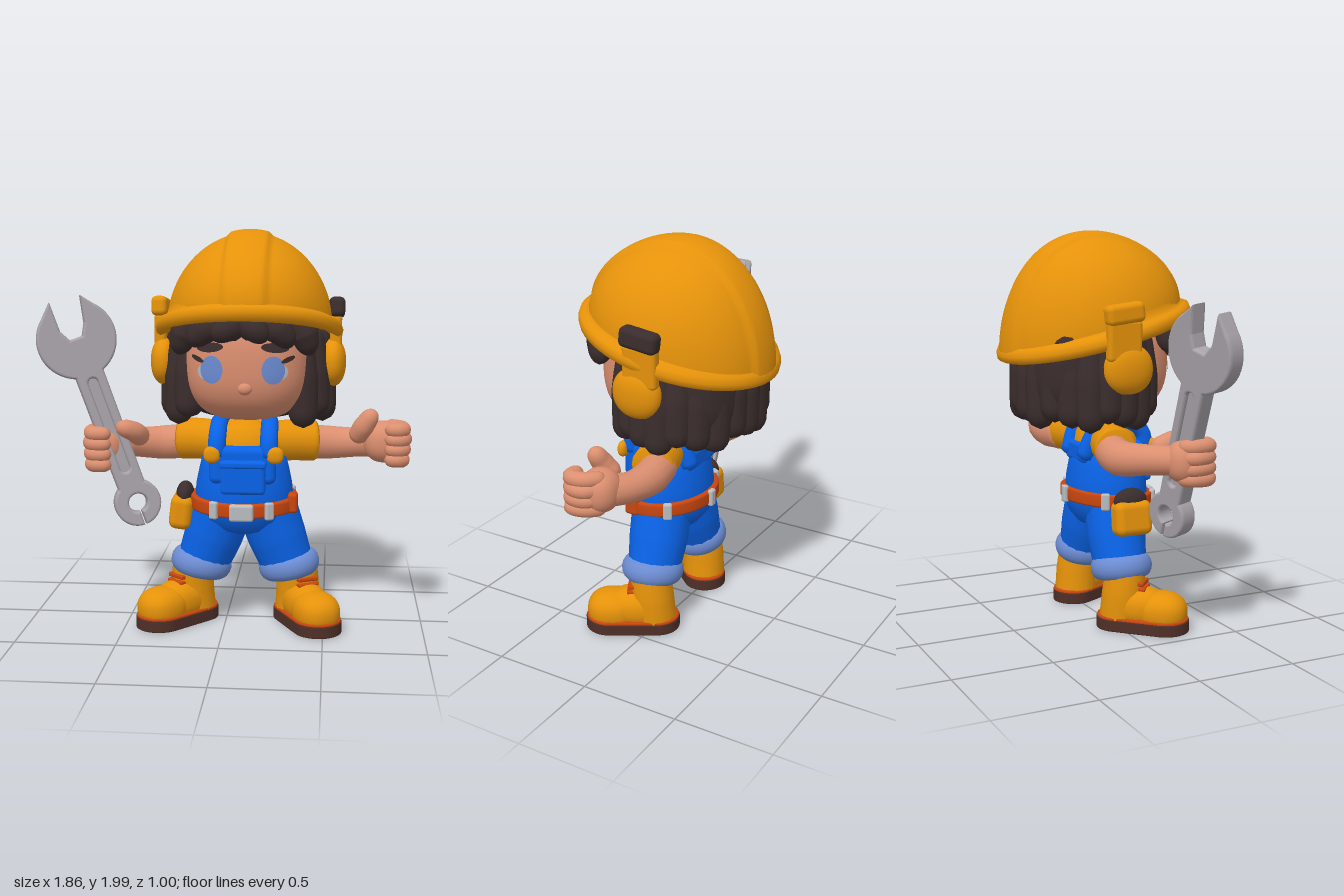
import * as THREE from 'three';
import { mergeVertices } from 'three/addons/utils/BufferGeometryUtils.js';
import { RoundedBoxGeometry } from 'three/addons/geometries/RoundedBoxGeometry.js';

const colour = (name, hex) => {
  const m = new THREE.MeshStandardMaterial({ color: hex });
  m.name = name;
  return m;
};
const V = (p) => new THREE.Vector3(...p);

export function createModel() {
  const yellow = colour('yellow', 0xe5920a), blue = colour('denim', 0x0a64ea);
  const cuffBlue = colour('paleBlue', 0x6c8cd2), skin = colour('skin', 0xdc8f70);
  const hair = colour('darkBrown', 0x3b2d2d), steel = colour('steel', 0xa8a2a9);
  const silver = colour('silver', 0xb9bcc0), orange = colour('beltOrange', 0xc9460f);
  const soleBrown = colour('soleBrown', 0x4f2f28);
  const model = new THREE.Group();
  model.name = 'builder';

  const add = (name, geo, mat, pos = [0, 0, 0], parent = model) => {
    const m = new THREE.Mesh(geo, mat);
    m.name = name;
    m.position.set(...pos);
    parent.add(m);
    return m;
  };
  const smooth = (g) => {
    g.deleteAttribute('uv');
    g.deleteAttribute('normal');
    g = mergeVertices(g, 1e-5);
    g.computeVertexNormals();
    return g;
  };
  const warp = (g, rule) => {
    const p = g.attributes.position, v = new THREE.Vector3();
    for (let i = 0; i < p.count; i++) {
      v.fromBufferAttribute(p, i);
      rule(v, i);
      p.setXYZ(i, v.x, v.y, v.z);
    }
    return g;
  };
  // Rounded mass; e below 1 makes it boxier
  const blob = (name, mat, pos, r, e = 1, parent = model) => {
    const f = (c, s) => Math.sign(c) * Math.abs(c) ** e * s;
    const g = warp(new THREE.SphereGeometry(1, 40, 28), (v) => v.set(f(v.x, r[0]), f(v.y, r[1]), f(v.z, r[2])));
    return add(name, smooth(g), mat, pos, parent);
  };
  // Tapered tube through points with rounded ends
  const limb = (name, mat, pts, radii, round = 0.15, parent = model) => {
    const curve = new THREE.CatmullRomCurve3(pts.map(V)), n = 24, m = 16;
    const g = warp(new THREE.TubeGeometry(curve, n, 1, m), (v, i) => {
      const u = Math.floor(i / (m + 1)) / n, c = curve.getPointAt(u);
      const t = u * (radii.length - 1), k = Math.min(Math.floor(t), radii.length - 2);
      const d = Math.min(1, Math.min(u, 1 - u) / round);
      const r = THREE.MathUtils.lerp(radii[k], radii[k + 1], t - k) * Math.sqrt(Math.max(0, 1 - (1 - d) ** 2));
      v.sub(c).multiplyScalar(r).add(c);
    });
    return add(name, smooth(g), mat, [0, 0, 0], parent);
  };
  const box = (name, mat, pos, s, parent = model) =>
    add(name, new RoundedBoxGeometry(...s, 3, Math.min(...s) * 0.35), mat, pos, parent);
  const lathe = (name, mat, pts, pos, sx, sz, slope = 0) => {
    const g = new THREE.LatheGeometry(pts.map((p) => new THREE.Vector2(...p)), 48);
    g.scale(sx, 1, sz);
    return add(name, smooth(warp(g, (v) => { v.y += slope * v.z; })), mat, pos);
  };

  // Head and face
  const hc = [0.11, 1.36, 0.05], hr = [0.31, 0.3, 0.31], he = 0.75;
  blob('head', skin, hc, hr, he);
  const faceZ = (x, y) => {
    const q = 1 - Math.abs((x - hc[0]) / hr[0]) ** (2 / he) - Math.abs((y - hc[1]) / hr[1]) ** (2 / he);
    return hc[2] + hr[2] * Math.max(q, 0) ** (he / 2);
  };
  const patch = (name, mat, x, y, rx, ry, lift, tilt = 0) => {
    const g = new THREE.RingGeometry(0.001, 1, 28, 5);
    g.scale(rx, ry, 1).rotateZ(tilt).translate(x, y, 0);
    add(name, smooth(warp(g, (v) => { v.z = faceZ(v.x, v.y) + lift; })), mat);
  };
  blob('nose', skin, [0.115, 1.245, 0.345], [0.035, 0.03, 0.026]);
  for (const s of [-1, 1]) {
    const x = 0.103 + s * 0.148;
    patch('eyeWhite', silver, x + s * 0.01, 1.325, 0.06, 0.045, 0.003);
    patch('iris', cuffBlue, x, 1.335, 0.055, 0.067, 0.006);
    patch('eyelash', hair, x + s * 0.07, 1.385, 0.034, 0.012, 0.008, s * 0.4);
    patch('eyebrow', hair, x + s * 0.008, 1.442, 0.066, 0.023, 0.008, -s * 0.08);
  }
  limb('neck', skin, [[0.1, 0.98, 0.04], [0.1, 1.05, 0.04], [0.1, 1.14, 0.04]], [0.06, 0.055, 0.06], 0.1);

  // Hair: solid core, hanging locks around sides and back, swept fringe
  blob('hairCore', hair, [0.105, 1.35, -0.1], [0.37, 0.3, 0.3], 0.65);
  for (let i = 0; i < 17; i++) {
    const a = -0.72 + (i / 16) * (Math.PI + 1.44), c = Math.cos(a), s = Math.sin(a);
    const bottom = 1.025 + 0.045 * ((i * 5) % 3) / 2;
    const at = (k, y) => [0.105 + 0.37 * k * c, y, -0.06 - 0.29 * k * s];
    limb('hairLock', hair, [at(0.9, 1.53), at(0.98, 1.3), at(1.03, bottom)], [0.07, 0.083, 0.068], 0.16);
  }
  const fringe = [[-0.1, -0.22, 1.4, 0.26], [0.02, -0.15, 1.45, 0.32], [0.1, -0.04, 1.485, 0.36],
    [0.11, 0.22, 1.475, 0.36], [0.19, 0.34, 1.445, 0.32], [0.31, 0.43, 1.4, 0.26]];
  for (const [x, tx, ty, tz] of fringe)
    limb('fringe', hair, [[x, 1.56, 0.28], [(x + tx) / 2, 1.535, tz + 0.015], [tx, ty, tz]], [0.06, 0.072, 0.04], 0.25);
  for (const s of [-1, 1]) box('strapClip', silver, [0.1 + s * 0.285, 1.49, 0.25], [0.05, 0.055, 0.08]);

  // Hard hat: dome with raised centre ridge, sloping brim
  const dome = warp(new THREE.SphereGeometry(1, 160, 48, 0, Math.PI * 2, 0, Math.PI / 2), (v) => {
    const h = v.y;
    const ridge = 1 + 0.035 * (1 - THREE.MathUtils.smoothstep(Math.abs(v.x * 0.41), 0.09, 0.115));
    v.set(v.x * 0.415, h * 0.482 * ridge, v.z * 0.465 * ridge);
    v.y += 0.24 * v.z * (1 - h);
  });
  add('helmetDome', smooth(dome), yellow, [0.115, 1.5, -0.012]);
  lathe('helmetBrim', yellow, [[0, 0.02], [0.4, 0.0], [0.45, -0.026], [0.475, -0.038], [0.494, -0.026],
    [0.5, 0.002], [0.49, 0.03], [0.465, 0.042], [0.44, 0.055], [0.43, 0.09]], [0.112, 1.5, 0], 0.94, 1, 0.24);

  // Ear defenders with brackets on the hat
  for (const s of [-1, 1]) {
    const x = 0.105 + s * 0.425;
    blob('earDefender', yellow, [x, 1.34, -0.02], [0.068, 0.122, 0.128], 0.92);
    box('earDefenderArm', yellow, [x + s * 0.015, 1.48, -0.05], [0.06, 0.2, 0.18]);
    box('hatBracket', s > 0 ? hair : yellow, [x + s * 0.02, 1.61, -0.05], [0.08, 0.1, 0.2]).rotation.x = -0.12;
  }

  // Torso, bib and belt share one oval plan
  const bodyAt = [0.093, 0, 0.06];
  lathe('shirt', yellow, [[0.19, 0.78], [0.2, 0.9], [0.18, 0.98], [0.13, 1.03], [0.06, 1.055], [0, 1.06]], bodyAt, 1, 0.82);
  lathe('dungarees', blue, [[0, 0.475], [0.1, 0.48], [0.175, 0.505], [0.228, 0.56], [0.252, 0.63], [0.242, 0.74],
    [0.225, 0.82], [0.212, 0.87], [0.19, 0.885], [0, 0.89]], bodyAt, 1, 0.82);
  box('bib', blue, [0.095, 0.85, 0.2], [0.33, 0.19, 0.1]);
  box('backPanel', blue, [0.095, 0.88, -0.09], [0.22, 0.1, 0.06]);
  box('bibPocket', blue, [0.1, 0.795, 0.25], [0.22, 0.17, 0.06]);
  box('pocketFlap', blue, [0.1, 0.86, 0.255], [0.23, 0.035, 0.065]);
  const beltSlope = -0.08;
  lathe('belt', orange, [[0.24, 0.61], [0.268, 0.612], [0.273, 0.622], [0.273, 0.668], [0.268, 0.678], [0.24, 0.68]], bodyAt, 1, 0.84, beltSlope);
  box('buckle', silver, [0.095, 0.625, 0.293], [0.12, 0.085, 0.04]);
  for (const deg of [30, -30, 120, -120, 180]) {
    const a = THREE.MathUtils.degToRad(deg), z = 0.232 * Math.cos(a);
    box('beltLoop', silver, [0.093 + 0.275 * Math.sin(a), 0.645 + beltSlope * z, 0.06 + z], [0.045, 0.088, 0.03]).rotation.y = a;
  }
  box('beltPad', orange, [0.342, 0.65, 0.14], [0.05, 0.1, 0.08]);
  box('pouch', yellow, [-0.225, 0.58, 0.05], [0.115, 0.175, 0.2]).rotation.z = -0.12;
  blob('pouchContents', hair, [-0.21, 0.665, 0.05], [0.045, 0.065, 0.09]);

  for (const s of [-1, 1]) {
    const X = (d) => 0.097 + s * d;
    limb('strap', blue, [[X(0.13), 0.87, 0.22], [X(0.128), 0.98, 0.2], [X(0.125), 1.045, 0.08],
      [X(0.115), 0.99, -0.05], [X(0.09), 0.84, -0.11]], [0.045, 0.043, 0.045], 0.06);
    blob('strapButton', yellow, [X(0.155) + 0.005, 0.905, 0.245], [0.042, 0.042, 0.025], 0.85);
    limb('sleeve', yellow, [[X(0.08), 0.935, 0.04], [X(0.22), 0.94, -0.01], [X(0.355) + 0.01, 0.935, -0.045]], [0.1, 0.106, 0.107], 0.07);

    // Trouser leg, turn-up and boot
    limb('trouserLeg', blue, [[X(0.1), 0.64, 0.055], [X(0.16), 0.46, 0.045], [X(0.232), 0.27, 0.04]], [0.155, 0.15, 0.13], 0.12);
    const cuff = new THREE.TorusGeometry(0.115, 0.042, 16, 40);
    cuff.scale(1, 1, 1.4).rotateX(Math.PI / 2);
    add('trouserCuff', cuff, cuffBlue, [X(0.225), 0.307, 0.042]).rotation.z = s * 0.2;

    const boot = new THREE.Group();
    boot.name = 'boot';
    boot.position.set(s > 0 ? 0.413 : -0.24, 0, 0.1);
    boot.rotation.y = s > 0 ? 0.5 : -0.75;
    model.add(boot);
    const outline = new THREE.Shape();
    outline.absarc(0, 0.125, 0.115, 0, Math.PI);
    outline.absarc(0, -0.122, 0.106, Math.PI, Math.PI * 2);
    for (const [name, mat, top, depth] of [['sole', soleBrown, 0.062, 0.05], ['welt', orange, 0.072, 0.01]]) {
      const g = new THREE.ExtrudeGeometry(outline, { depth, bevelThickness: 0.006, bevelSize: 0.006, bevelSegments: 2, curveSegments: 20 });
      g.rotateX(Math.PI / 2);
      add(name, g, mat, [0, top - 0.002, 0], boot).scale.setScalar(name === 'welt' ? 0.985 : 1);
    }
    blob('toeCap', yellow, [0, 0.105, 0.107], [0.114, 0.1, 0.13], 0.88, boot);
    blob('bootInstep', yellow, [0, 0.12, -0.02], [0.106, 0.105, 0.16], 0.9, boot);
    limb('bootShaft', yellow, [[0, 0.02, -0.11], [0, 0.18, -0.095], [-s * 0.012, 0.34, -0.085]], [0.112, 0.11, 0.1], 0.08, boot);
    for (const [y, z] of [[0.245, 0.005], [0.215, 0.012]]) box('lace', orange, [0, y, z], [0.11, 0.022, 0.04], boot);
  }

  // Left arm with closed fist and raised thumb
  limb('leftArm', skin, [[0.36, 0.93, -0.045], [0.52, 0.92, -0.075], [0.66, 0.925, -0.06], [0.8, 0.94, 0.01]], [0.09, 0.086, 0.074, 0.075], 0.08);
  blob('leftPalm', skin, [0.79, 0.945, 0.02], [0.1, 0.105, 0.095], 0.9);
  for (let i = 0; i < 4; i++) {
    const y = 0.87 + i * 0.05, out = 0.89 - Math.abs(i - 1.8) * 0.012;
    limb('leftFinger', skin, [[0.8, y, -0.02], [out, y, 0.05], [0.875, y, 0.125], [0.79, y, 0.125]], [0.037, 0.038, 0.035], 0.18);
  }
  limb('leftThumb', skin, [[0.65, 0.95, 0.02], [0.69, 1.03, 0.075], [0.745, 1.115, 0.09]], [0.05, 0.052, 0.04], 0.25);

  // Right arm gripping the spanner
  limb('rightArm', skin, [[-0.16, 0.93, -0.04], [-0.32, 0.91, -0.06], [-0.46, 0.92, 0.01], [-0.6, 0.93, 0.13]], [0.09, 0.088, 0.074, 0.07], 0.08);
  blob('rightPalm', skin, [-0.595, 0.925, 0.13], [0.085, 0.1, 0.08], 0.9);
  for (let i = 0; i < 4; i++) {
    const y = 0.845 + i * 0.052, out = -0.67 + Math.abs(i - 1.8) * 0.012;
    limb('rightFinger', skin, [[-0.6, y, 0.1], [out, y, 0.15], [-0.645, y, 0.24], [-0.55, y, 0.255]], [0.035, 0.038, 0.035], 0.18);
  }
  limb('rightThumb', skin, [[-0.43, 0.95, 0.05], [-0.455, 1.0, 0.16], [-0.53, 1.04, 0.22]], [0.055, 0.052, 0.04], 0.25);

  // Spanner: outline from small ring end up to the open jaws, with a recessed grip
  const spanner = new THREE.Group();
  spanner.name = 'spanner';
  spanner.position.set(-0.44, 0.64, 0.16);
  spanner.rotation.set(0, 0.3, 0.347, 'ZYX');
  model.add(spanner);
  const L = 0.87, down = -Math.PI / 2, body = new THREE.Shape();
  body.absarc(0, 0, 0.105, down + 0.15, 1.0);
  body.lineTo(0.06, L - 0.18);
  body.absarc(0, L, 0.185, down + 0.38, 0.8);
  body.lineTo(0.095, L + 0.182);
  body.lineTo(0.075, L + 0.06);
  body.lineTo(0.04, L - 0.005);
  body.lineTo(-0.04, L - 0.005);
  body.lineTo(-0.075, L + 0.06);
  body.lineTo(-0.07, L + 0.2);
  body.absarc(0, L, 0.185, Math.PI - 0.85, Math.PI * 1.5 - 0.38);
  body.lineTo(-0.06, L - 0.18);
  body.absarc(0, 0, 0.105, Math.PI - 1.0, Math.PI * 1.5 - 0.15);
  body.absarc(0, 0, 0.058, Math.PI * 1.5 - 0.28, down + 0.28, true);
  const slot = new THREE.Path();
  slot.absarc(0, 0.64, 0.036, 0, Math.PI);
  slot.absarc(0, 0.19, 0.036, Math.PI, Math.PI * 2);
  body.holes.push(slot);
  const spannerGeo = new THREE.ExtrudeGeometry(body, { depth: 0.062, bevelThickness: 0.016, bevelSize: 0.012, bevelSegments: 3, curveSegments: 24 });
  add('spannerBody', spannerGeo, steel, [0, 0, -0.031], spanner);
  add('spannerGrip', new THREE.BoxGeometry(0.08, 0.53, 0.05), steel, [0, 0.415, 0], spanner);
  return model;
}
